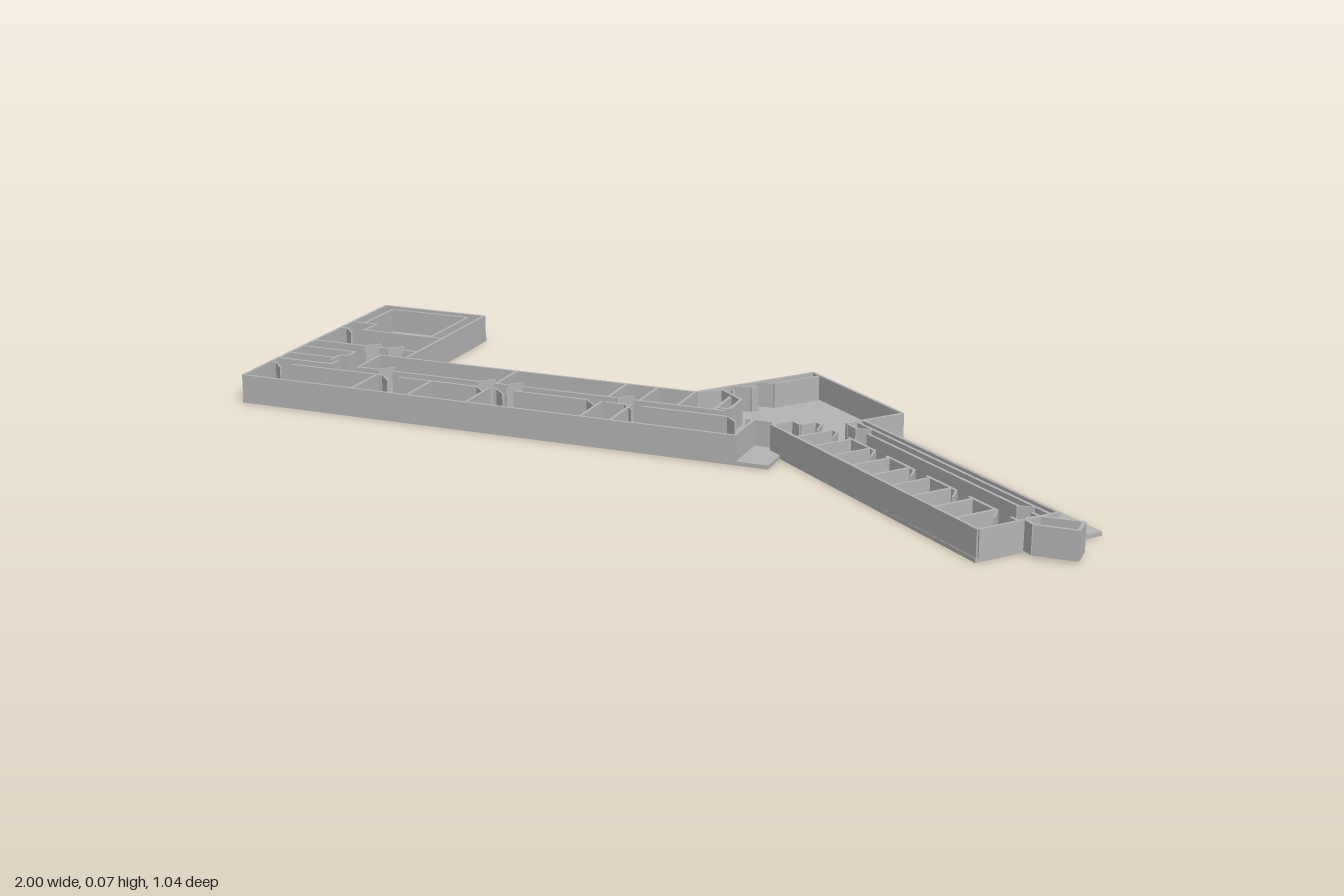
import * as THREE from 'three';

const SLAB = 0.009, TOP = 0.066, THICK = 0.007, DOOR = 0.042;
const plaster = new THREE.MeshStandardMaterial({ color: 0xb4b4b4 });
plaster.name = 'grey plaster';

// Upright panel between two plan points (x, z)
function panel(group, name, x1, z1, x2, z2, base = SLAB, thick = THICK) {
  const mesh = new THREE.Mesh(
    new THREE.BoxGeometry(Math.hypot(x2 - x1, z2 - z1), TOP - base, thick), plaster);
  mesh.position.set((x1 + x2) / 2, (base + TOP) / 2, (z1 + z2) / 2);
  mesh.rotation.y = -Math.atan2(z2 - z1, x2 - x1);
  mesh.name = name;
  group.add(mesh);
}

// Partition with doorways; doors are distances from its start, leaves swing to `side`
function partition(group, x1, z1, x2, z2, doors = [], side = 1) {
  const len = Math.hypot(x2 - x1, z2 - z1), dx = (x2 - x1) / len, dz = (z2 - z1) / len;
  const at = (d, off = 0) => [x1 + dx * d - dz * off, z1 + dz * d + dx * off];
  let from = 0;
  for (const d of doors) {
    panel(group, 'partition', ...at(from), ...at(d));
    panel(group, 'doorLeaf', ...at(d), ...at(d + DOOR * 0.7, side * DOOR * 0.7), SLAB, 0.004);
    from = d + DOOR;
  }
  panel(group, 'partition', ...at(from), ...at(len));
}

function wallRun(group, name, points, base) {
  for (let i = 1; i < points.length; i++) panel(group, name, ...points[i - 1], ...points[i], base);
}

function createSlab() {
  const outline = [[-1, -0.52], [-0.715, -0.52], [-0.715, -0.11], [0.015, -0.11], [0.205, -0.355],
    [1, 0.285], [0.81, 0.515], [0.275, 0.08], [0.275, 0.155], [-1, 0.155]];
  const shape = new THREE.Shape(outline.map(([x, z]) => new THREE.Vector2(x, -z)));
  const geometry = new THREE.ExtrudeGeometry(shape, { depth: SLAB, bevelEnabled: false });
  geometry.rotateX(-Math.PI / 2);
  const slab = new THREE.Mesh(geometry, plaster);
  slab.name = 'floorSlab';
  return slab;
}

function createMainWing() {
  const g = new THREE.Group();
  g.name = 'mainWing';
  // Outer walls
  wallRun(g, 'outerWall', [[0.2, 0.035], [0.2, 0.152], [-0.997, 0.152], [-0.997, -0.517],
    [-0.718, -0.517], [-0.718, -0.107], [0.015, -0.107]]);
  // Corridor walls
  partition(g, -1, 0.037, 0.24, 0.037, [0.02, 0.3, 0.54, 0.59, 0.81, 0.9, 1.14], 1);
  partition(g, -0.785, 0, 0.12, 0, [0.05, 0.31, 0.38, 0.65], -1);
  // Room dividers on both sides of the corridor
  for (const x of [-0.715, -0.575, -0.43, -0.155, -0.085]) partition(g, x, 0.037, x, 0.152);
  for (const x of [-0.785, -0.43, -0.155, -0.08, 0.01]) partition(g, x, -0.107, x, 0);
  partition(g, -0.785, -0.107, -0.715, -0.107);
  // Small rooms beside the foyer
  wallRun(g, 'partition', [[0.01, -0.107], [0.06, -0.145], [0.125, -0.09], [0.125, -0.015], [0.095, -0.015]]);
  partition(g, 0.095, -0.1, 0.095, 0);
  return g;
}

function createSideWing() {
  const g = new THREE.Group();
  g.name = 'sideWing';
  // Hall with an inner lining
  wallRun(g, 'hallLining', [[-0.962, -0.35], [-0.962, -0.488], [-0.75, -0.488], [-0.75, -0.29]]);
  partition(g, -1, -0.29, -0.715, -0.29, [0.02], 1);
  wallRun(g, 'partition', [[-1, -0.348], [-0.93, -0.348], [-0.93, -0.29]]);
  // Cross rooms and store rooms
  partition(g, -1, -0.165, -0.715, -0.165, [0.14, 0.2], -1);
  partition(g, -1, -0.11, -0.855, -0.11);
  partition(g, -1, -0.05, -0.875, -0.05);
  partition(g, -1, 0, -0.855, 0);
  wallRun(g, 'partition', [[-0.855, -0.11], [-0.855, -0.075], [-0.875, -0.075], [-0.875, -0.03]]);
  partition(g, -0.855, -0.03, -0.855, 0);
  return g;
}

// Wing at an angle: x runs along it, z across it from the outer edge
function createAngledWing() {
  const g = new THREE.Group();
  g.name = 'angledWing';
  g.position.set(0.205, 0, -0.355);
  g.rotation.y = -Math.atan2(0.64, 0.795);
  const end = 1.016;
  // Large foyer room
  wallRun(g, 'foyerWall', [[0.004, 0.31], [0.004, 0.004], [0.36, 0.004], [0.36, 0.106]]);
  partition(g, 0.035, 0.01, 0.035, 0.24, [0.12, 0.18], 1);
  // Long walls, corridor and end wall
  wallRun(g, 'outerWall', [[0.36, 0.106], [end, 0.106], [end, 0.293], [0.29, 0.293]]);
  partition(g, 0.37, 0.125, end, 0.125);
  partition(g, 0.37, 0.15, end, 0.15, [0.03, 0.58], -1);
  partition(g, 0.32, 0.2, end, 0.2, [0.02, 0.08, 0.22, 0.36, 0.5, 0.63], 1);
  partition(g, 0.36, 0.106, 0.36, 0.15);
  partition(g, 0.29, 0.293, 0.29, 0.24);
  wallRun(g, 'partition', [[0.29, 0.24], [0.32, 0.24], [0.32, 0.2]]);
  // Row of small offices
  for (let i = 0; i < 9; i++) {
    const x = 0.385 + i * 0.07;
    partition(g, x, 0.2, x, 0.293);
  }
  return g;
}

export function createModel() {
  const model = new THREE.Group();
  model.name = 'floorPlan';
  model.add(createSlab(), createMainWing(), createSideWing(), createAngledWing());
  // Entrance porch at the far end
  const porch = new THREE.Group();
  porch.name = 'entrancePorch';
  wallRun(porch, 'porchWall', [[0.88, 0.42], [0.902, 0.398], [0.987, 0.398], [0.987, 0.447],
    [0.902, 0.447], [0.88, 0.425]], 0.005);
  model.add(porch);
  return model;
}
